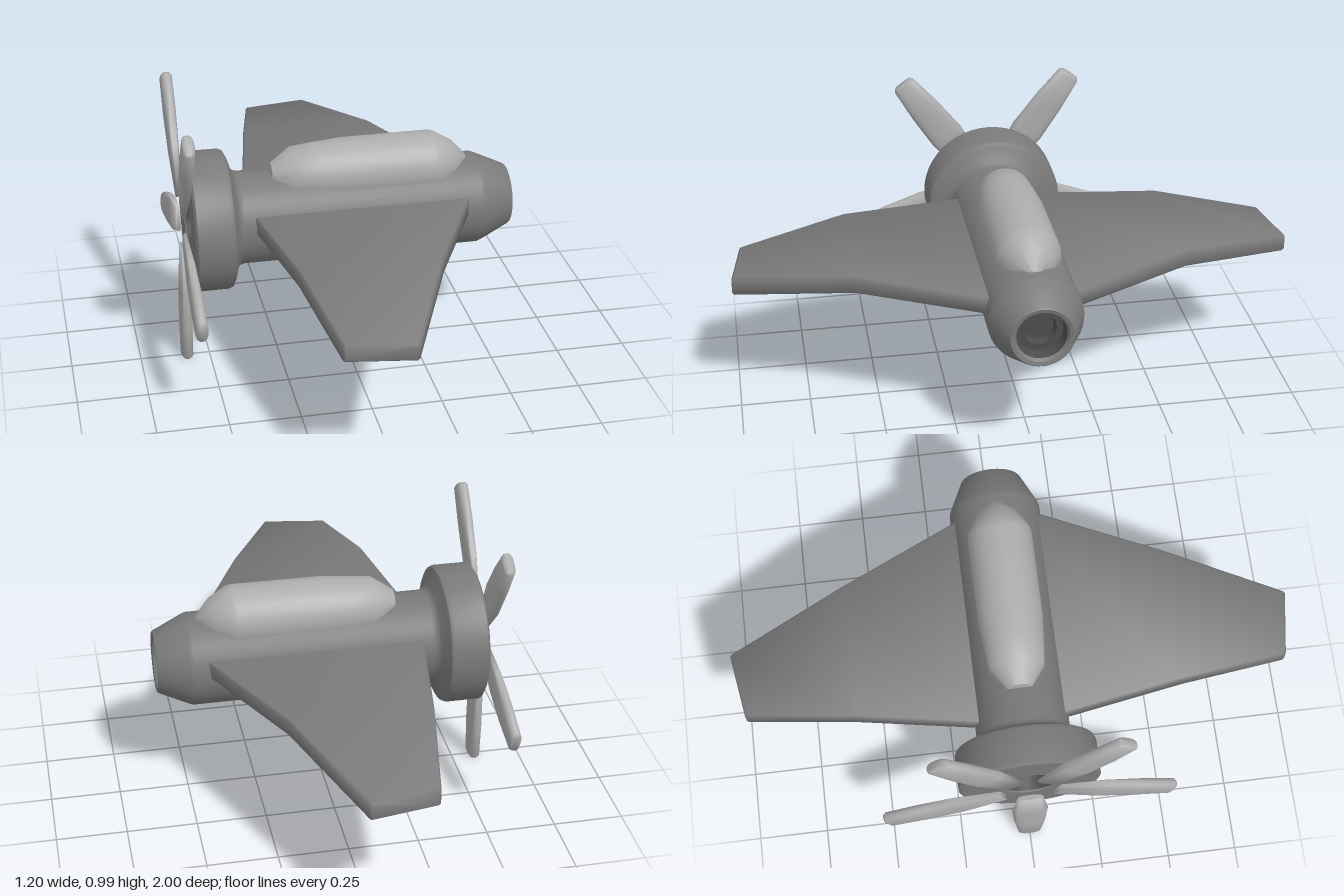
import * as THREE from 'three';
import { toCreasedNormals } from 'three/addons/utils/BufferGeometryUtils.js';

const AXIS_Y = 0.538; // height of the fuselage axis
const hull = new THREE.MeshStandardMaterial({ color: 0x7a7a7a });
const light = new THREE.MeshStandardMaterial({ color: 0xacadac });
const dark = new THREE.MeshStandardMaterial({ color: 0x4c4c4c });

function addMesh(parent, name, geometry, material) {
  const mesh = new THREE.Mesh(geometry, material);
  mesh.name = name;
  parent.add(mesh);
  return mesh;
}

// Skins a list of equal-length rings (counter-clockwise seen from the last one) and caps both ends.
function loft(rings, crease) {
  const n = rings[0].length;
  const points = rings.flat();
  const index = [];
  for (let i = 0; i < rings.length - 1; i++) {
    for (let j = 0; j < n; j++) {
      const a = i * n + j, b = i * n + (j + 1) % n;
      index.push(a, b, b + n, a, b + n, a + n);
    }
  }
  const last = (rings.length - 1) * n;
  for (let j = 1; j < n - 1; j++) {
    index.push(0, j + 1, j);
    index.push(last, last + j, last + j + 1);
  }
  const geometry = new THREE.BufferGeometry();
  geometry.setAttribute('position', new THREE.Float32BufferAttribute(points.flat(), 3));
  geometry.setIndex(index);
  return toCreasedNormals(geometry, crease);
}

// Turned part along x from [x, radius] pairs.
function turned(profile, segments, crease) {
  const lathe = new THREE.LatheGeometry(profile.map(([x, r]) => new THREE.Vector2(r, x)), segments);
  lathe.rotateZ(-Math.PI / 2);
  return toCreasedNormals(lathe, crease);
}

// Wing cross-section at span z: chamfered rectangle, with z slanted along the chord by skew.
function wingSection({ z, x0, x1, y0, y1, skew = 0 }, side) {
  const c = 0.006;
  return [
    [x0 + c, y0], [x1 - c, y0], [x1, y0 + c], [x1, y1 - c],
    [x1 - c, y1], [x0 + c, y1], [x0, y1 - c], [x0, y0 + c],
  ].map(([x, y]) => [x, y, side * (z + skew * (x - x1))]);
}

// Blade cross-section at radius r: squarish oval of half-width w and half-thickness t.
function bladeSection([r, w, t]) {
  const soft = v => Math.sign(v) * Math.abs(v) ** 0.75;
  return Array.from({ length: 16 }, (_, i) => {
    const a = (i / 16) * Math.PI * 2;
    return [t * soft(Math.sin(a)), r, w * soft(Math.cos(a))];
  });
}

export function createModel() {
  const model = new THREE.Group();
  model.name = 'propellerPlane';

  // Fuselage with rear cowling, and the recesses in its two ends
  const body = new THREE.Group();
  body.name = 'body';
  body.position.y = AXIS_Y;
  model.add(body);
  addMesh(body, 'fuselage', turned([
    [-0.555, 0.1], [-0.56, 0.105],
    [-0.56, 0.238], [-0.552, 0.249], [-0.435, 0.249], [-0.422, 0.243], [-0.413, 0.225],
    [-0.4, 0.182], [-0.39, 0.17], [-0.375, 0.165],
    [0.475, 0.165], [0.488, 0.161], [0.596, 0.111], [0.6, 0.107], [0.597, 0.094], [0.585, 0.086],
  ], 48, 0.6), hull);
  addMesh(body, 'noseRecess', turned([
    [0.585, 0.086], [0.54, 0.08], [0.54, 0.058], [0.51, 0.052], [0.51, 0],
  ], 48, 0.6), dark);
  addMesh(body, 'rearRecessWall', turned([[-0.49, 0.085], [-0.555, 0.1]], 48, 0.6), dark);
  addMesh(body, 'rearRecessFloor', turned([[-0.49, 0], [-0.49, 0.085]], 48, 0.6), hull);

  // Canopy
  const canopy = addMesh(model, 'canopy', turned([
    [-0.262, 0], [-0.26, 0.045], [-0.185, 0.097], [-0.1, 0.106], [0, 0.114],
    [0.31, 0.115], [0.33, 0.112], [0.395, 0.075], [0.445, 0.02], [0.45, 0],
  ], 32, 0.7), light);
  canopy.position.y = 0.69;

  // Wings: flat inner panel, drooping outer panel, softened edges
  const stations = [
    { z: 1.0, x0: -0.196, x1: 0.036, y0: 0.485, y1: 0.54, skew: 0.16 },
    { z: 0.994, x0: -0.2, x1: 0.04, y0: 0.48, y1: 0.546, skew: 0.16 },
    { z: 0.58, x0: -0.268, x1: 0.222, y0: 0.55, y1: 0.613 },
    { z: 0.1, x0: -0.348, x1: 0.45, y0: 0.54, y1: 0.604 },
  ];
  const wingRings = [
    ...stations.map(s => wingSection(s, -1)),
    ...stations.slice().reverse().map(s => wingSection(s, 1)),
  ];
  addMesh(model, 'wings', loft(wingRings, 0.9), hull);

  // Five-bladed pusher propeller
  const propeller = new THREE.Group();
  propeller.name = 'propeller';
  propeller.position.set(-0.582, AXIS_Y, 0);
  const blade = loft([
    [0.1, 0.045, 0.009], [0.26, 0.065, 0.018],
    [0.4, 0.058, 0.022], [0.528, 0.044, 0.022], [0.538, 0.036, 0.016],
  ].map(bladeSection), 2);
  for (let i = 0; i < 5; i++) {
    addMesh(propeller, 'blade', blade, light).rotation.x = Math.PI + (i * Math.PI * 2) / 5;
  }
  model.add(propeller);

  return model;
}
